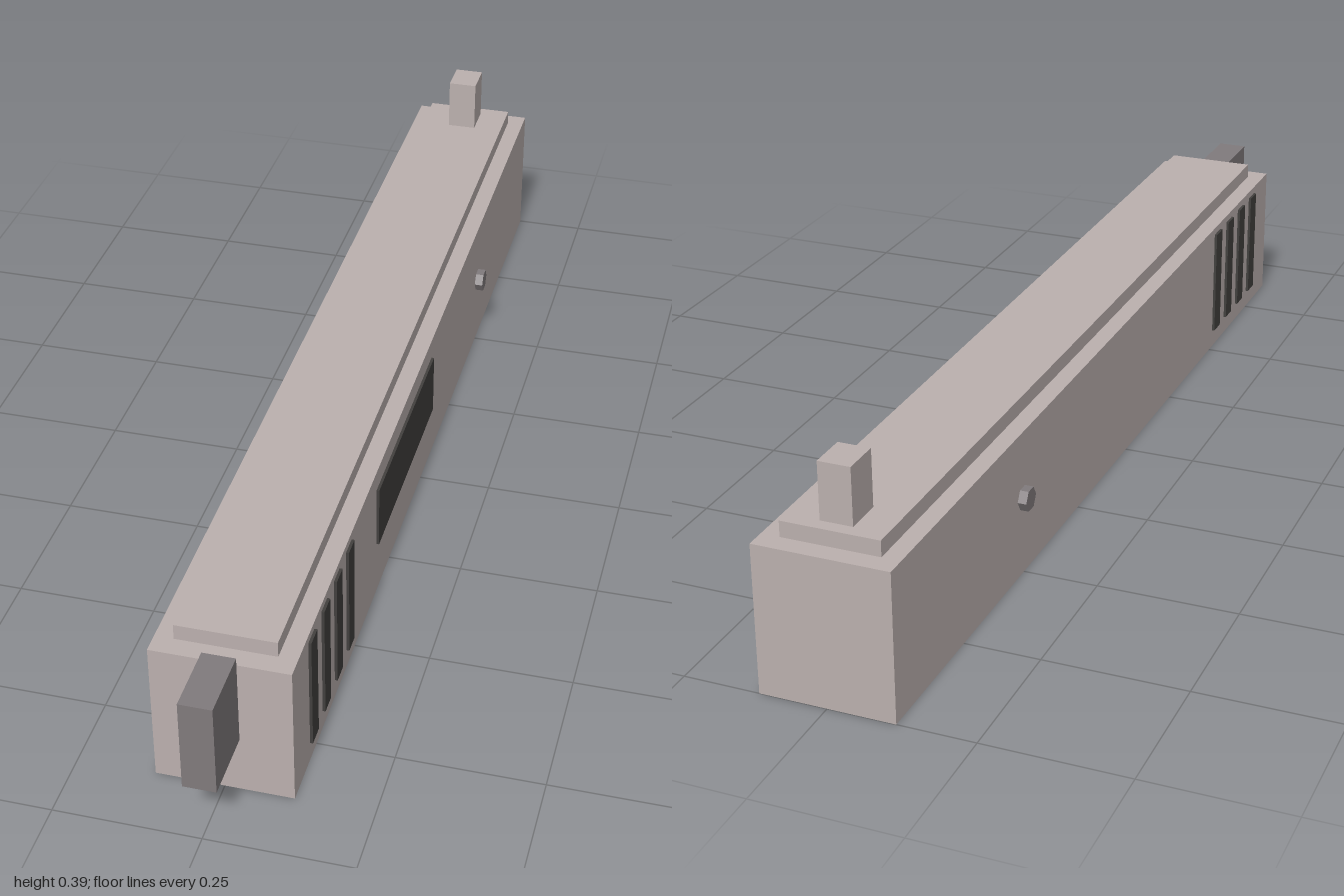
import * as THREE from 'three';

const paint = (name, color) => {
  const m = new THREE.MeshStandardMaterial({ color });
  m.name = name;
  return m;
};

export function createModel() {
  const group = new THREE.Group();
  const paleMetal = paint('paleMetal', 0xbbb0ae);
  const greyMetal = paint('greyMetal', 0x807a7c);
  const darkRecess = paint('darkRecess', 0x42403e);

  const add = (name, geometry, material) => {
    const mesh = new THREE.Mesh(geometry, material);
    mesh.name = name;
    group.add(mesh);
    return mesh;
  };
  // Box given by its extents on each axis
  const box = (name, material, [x0, x1], [y0, y1], [z0, z1]) =>
    add(name, new THREE.BoxGeometry(x1 - x0, y1 - y0, z1 - z0), material)
      .position.set((x0 + x1) / 2, (y0 + y1) / 2, (z0 + z1) / 2);

  // Long body with a raised top rib
  box('body', paleMetal, [-0.117, 0.117], [0, 0.263], [-1, 0.88]);
  box('topRib', paleMetal, [-0.085, 0.085], [0.263, 0.291], [-0.965, 0.845]);

  // Upright post at the back, block at the front end
  box('rearPost', paleMetal, [-0.028, 0.028], [0.291, 0.391], [-0.942, -0.874]);
  box('frontBlock', greyMetal, [-0.028, 0.028], [0.107, 0.277], [0.88, 1]);

  // Four grip slots on each side
  for (const side of [-1, 1]) {
    const x = side > 0 ? [0.116, 0.122] : [-0.122, -0.116];
    for (let i = 0; i < 4; i++) {
      const z = 0.77 - i * 0.0777;
      box('gripSlot', darkRecess, x, [0.036, 0.249], [z - 0.018, z + 0.018]);
    }
  }

  // Side opening on the left only
  box('sidePort', darkRecess, [0.116, 0.122], [0.107, 0.225], [-0.078, 0.348]);

  // Six-sided cross pin through the body
  const pin = new THREE.CylinderGeometry(0.0214, 0.0214, 0.265, 6).toNonIndexed();
  pin.computeVertexNormals();
  pin.rotateZ(Math.PI / 2);
  add('crossPin', pin, greyMetal).position.set(0, 0.143, -0.503);

  return group;
}
